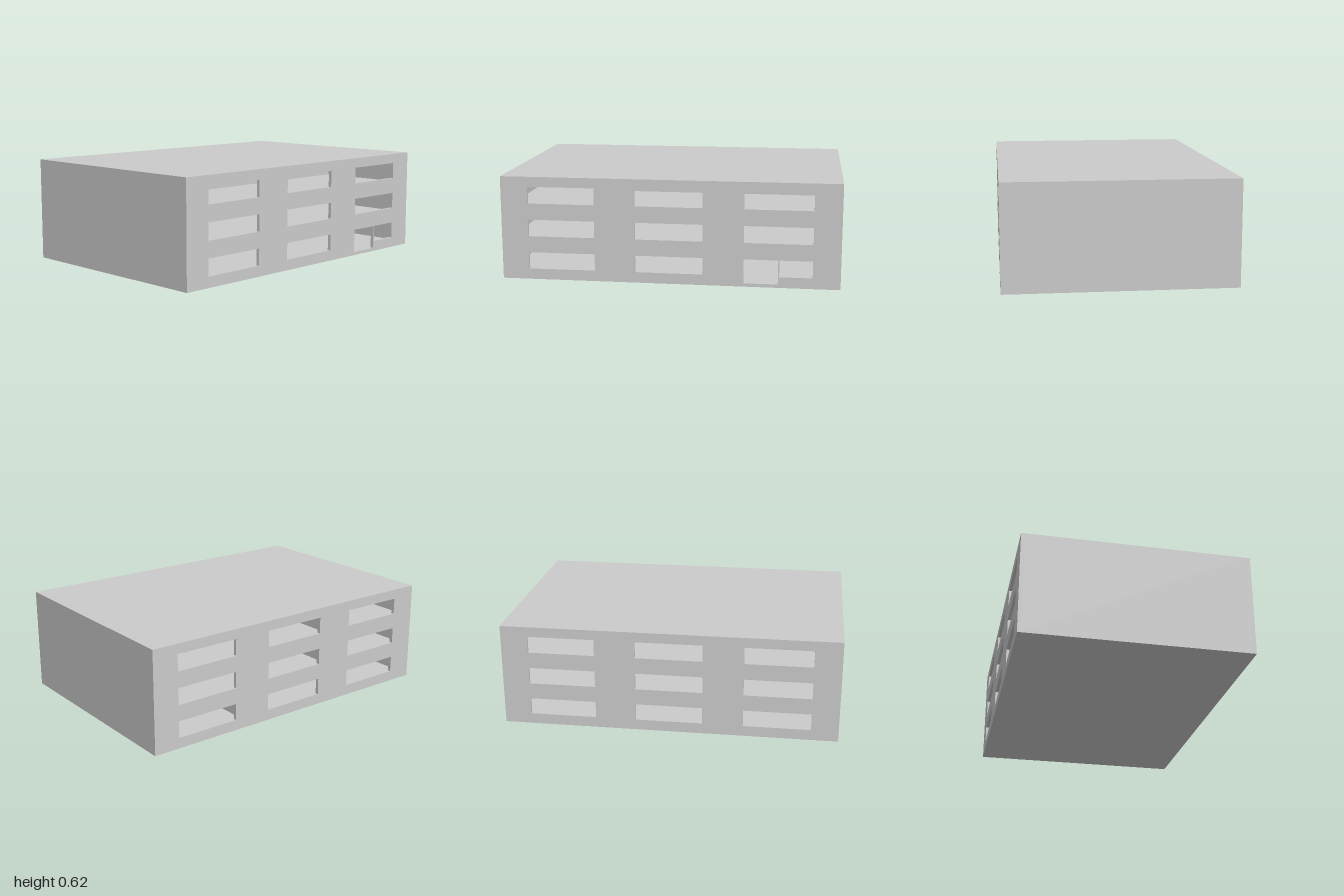
import * as THREE from 'three';

const W = 2, H = 0.62, D = 1.34, T = 0.02, STOREY = 0.2;
const material = new THREE.MeshStandardMaterial({ color: 0xcccccc, flatShading: true });

// Box given by its lower and upper corners
function box(name, x0, x1, y0, y1, z0, z1) {
  const mesh = new THREE.Mesh(new THREE.BoxGeometry(x1 - x0, y1 - y0, z1 - z0), material);
  mesh.position.set((x0 + x1) / 2, (y0 + y1) / 2, (z0 + z1) / 2);
  mesh.name = name;
  return mesh;
}

function rectPath(PathType, x0, x1, y0, y1) {
  return new PathType([[x0, y0], [x1, y0], [x1, y1], [x0, y1]].map(([x, y]) => new THREE.Vector2(x, y)));
}

// Outer wall with a 3 x 3 grid of openings; the front one has a door beside a short window
function facade(name, z, hasDoor) {
  const shape = rectPath(THREE.Shape, -W / 2, W / 2, 0, H);
  for (let floor = 0; floor < 3; floor++) {
    const y0 = 0.064 + floor * 0.198, y1 = y0 + 0.1;
    for (const x of [-0.64, 0, 0.64]) {
      const besideDoor = hasDoor && floor === 0 && x > 0;
      if (besideDoor) shape.holes.push(rectPath(THREE.Path, 0.44, 0.64, T, y1));
      shape.holes.push(rectPath(THREE.Path, besideDoor ? 0.647 : x - 0.2, x + 0.2, y0, y1));
    }
  }
  const geometry = new THREE.ExtrudeGeometry(shape, { depth: T, bevelEnabled: false });
  const mesh = new THREE.Mesh(geometry, material);
  mesh.position.z = z;
  mesh.name = name;
  return mesh;
}

export function createModel() {
  const building = new THREE.Group();
  building.name = 'building';
  const inX = W / 2 - T, inZ = D / 2 - T;

  // Outer shell
  building.add(facade('frontWall', inZ, true), facade('backWall', -D / 2, false));
  building.add(box('rightWall', -W / 2, -inX, 0, H, -inZ, inZ));
  building.add(box('leftWall', inX, W / 2, 0, H, -inZ, inZ));

  // Ground slab, upper floors and roof
  ['groundFloor', 'secondFloor', 'thirdFloor', 'roof'].forEach((name, i) => {
    building.add(box(name, -inX, inX, i * STOREY, i * STOREY + T, -inZ, inZ));
  });

  // Ground storey: entrance hall runs through to the back
  const rooms = new THREE.Group();
  rooms.name = 'interiorWalls';
  rooms.add(box('groundCrossWall', -inX, 0.32, T, STOREY, -T / 2, T / 2));
  rooms.add(box('groundPartition', 0.32, 0.34, T, STOREY, -inZ, T / 2));
  rooms.add(box('hallWall', 0.77, inX, T, STOREY, -T / 2, T / 2));

  // Upper storeys: the room on the right runs through to the back
  for (const floor of [1, 2]) {
    const y0 = floor * STOREY + T, y1 = (floor + 1) * STOREY;
    rooms.add(box('upperCrossWall', -0.32, inX, y0, y1, -T / 2, T / 2));
    rooms.add(box('upperPartition', -0.34, -0.32, y0, y1, -inZ, T / 2));
  }
  building.add(rooms);
  return building;
}
